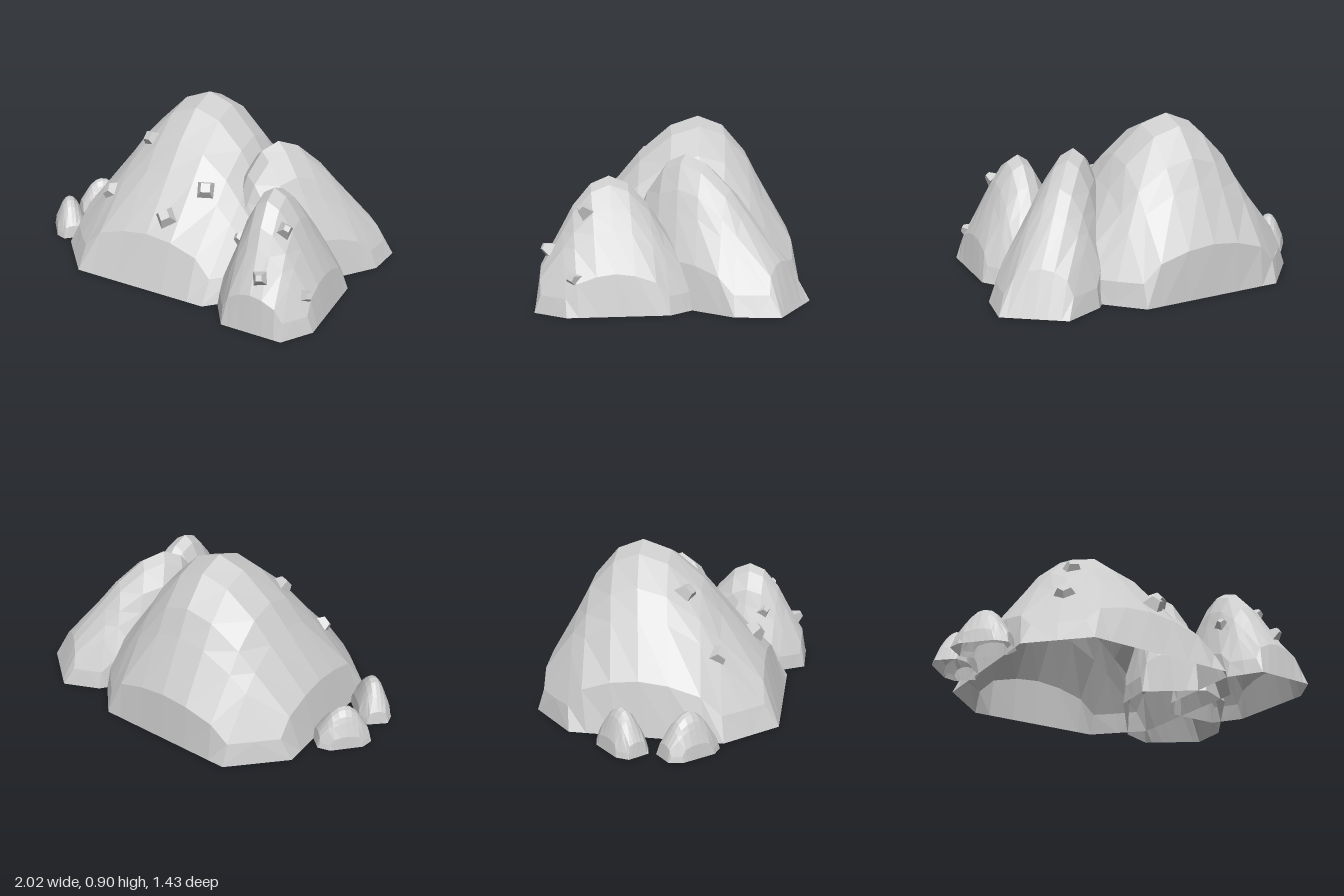
import * as THREE from 'three';

const material = new THREE.MeshStandardMaterial({ color: 0xcccccc, flatShading: true, side: THREE.DoubleSide });

// Profile steps from the peak (0) to the foot (5)
const OFFSET = [0, 0.23, 0.47, 0.61, 0.91, 1];
const HILL = [1, 0.94, 0.77, 0.62, 0.31, 0];
const ROUND = [1, 0.96, 0.82, 0.68, 0.34, 0];
const BASE = 0.004;

// Open-bottomed faceted mound with cut corners; the peak leans by (leanX, leanZ)
function mound(name, { x, z, halfW, halfD, height, leanX = 0, leanZ = 0, turn = 0, profile = HILL }) {
  const geo = new THREE.PlaneGeometry(2, 2, 10, 10).rotateX(-Math.PI / 2);
  const pos = geo.attributes.position;
  for (let k = 0; k < pos.count; k++) {
    const i = (k % 11) - 5, j = Math.floor(k / 11) - 5;
    const a = Math.abs(i), b = Math.abs(j);
    let px = OFFSET[a], pz = OFFSET[b];
    let h = profile[a] * profile[b];
    // Low cut corners
    if (a + b === 7 && a !== 5 && b !== 5) h = 0.135;
    if (a > 3 && b > 3) {
      const foot = a === 5 || b === 5;
      px = pz = foot ? 0.805 : 0.765;
      h = foot ? 0 : 0.135;
    }
    pos.setXYZ(k,
      Math.sign(i) * px * halfW + leanX * h,
      BASE + h * (height - BASE),
      Math.sign(j) * pz * halfD + leanZ * h);
  }
  geo.computeVertexNormals();
  const mesh = new THREE.Mesh(geo, material);
  mesh.name = name;
  mesh.position.set(x, 0, z);
  mesh.rotation.y = turn;
  return mesh;
}

// Blunt four-sided stone pointing out of the slope
function stone(name, [x, y, z], normal, size, spin) {
  const geo = new THREE.CylinderGeometry(size * 0.3, size * 0.72, size * 0.75, 4);
  geo.rotateY(spin);
  const mesh = new THREE.Mesh(geo, material);
  mesh.name = name;
  mesh.position.set(x, y, z);
  mesh.quaternion.setFromUnitVectors(new THREE.Vector3(0, 1, 0), new THREE.Vector3(...normal).normalize());
  return mesh;
}

export function createModel() {
  const group = new THREE.Group();
  group.name = 'rockyMounds';

  // Three overlapping mounds
  group.add(
    mound('largeMound', { x: -0.09, z: -0.055, halfW: 0.66, halfD: 0.665, height: 0.905, leanZ: -0.145 }),
    mound('rearMound', { x: 0.565, z: -0.17, halfW: 0.29, halfD: 0.495, height: 0.73, leanX: -0.06, leanZ: 0.17, turn: -0.64 }),
    mound('frontMound', { x: 0.645, z: 0.305, halfW: 0.27, halfD: 0.405, height: 0.64, leanX: -0.06, leanZ: 0.035 }),
  );

  // Two loose boulders beside the large mound
  for (const [z, turn] of [[-0.145, -0.75], [0.19, 0.75]]) {
    group.add(mound('boulder', { x: -0.868, z, halfW: 0.095, halfD: 0.15, height: 0.215, turn, profile: ROUND }));
  }

  // Stones set in the large mound
  const large = [[-0.31, 0.66, 0.08], [-0.47, 0.37, 0.28], [0.14, 0.5, 0.26], [-0.01, 0.37, 0.43]];
  large.forEach((p, i) => group.add(
    stone('largeStone', p, [(p[0] + 0.09) * 1.2, 0.5, 0.55], 0.12, 0.5 + i * 0.35)));

  // Stones set in the front mound
  const small = [[0.45, 0.37, 0.45], [0.71, 0.49, 0.47], [0.66, 0.29, 0.65], [0.855, 0.18, 0.52]];
  small.forEach((p, i) => group.add(
    stone('smallStone', p, [(p[0] - 0.6) * 3, 0.35, (p[2] - 0.25) * 1.6], 0.07, 0.6 + i * 0.3)));

  return group;
}
